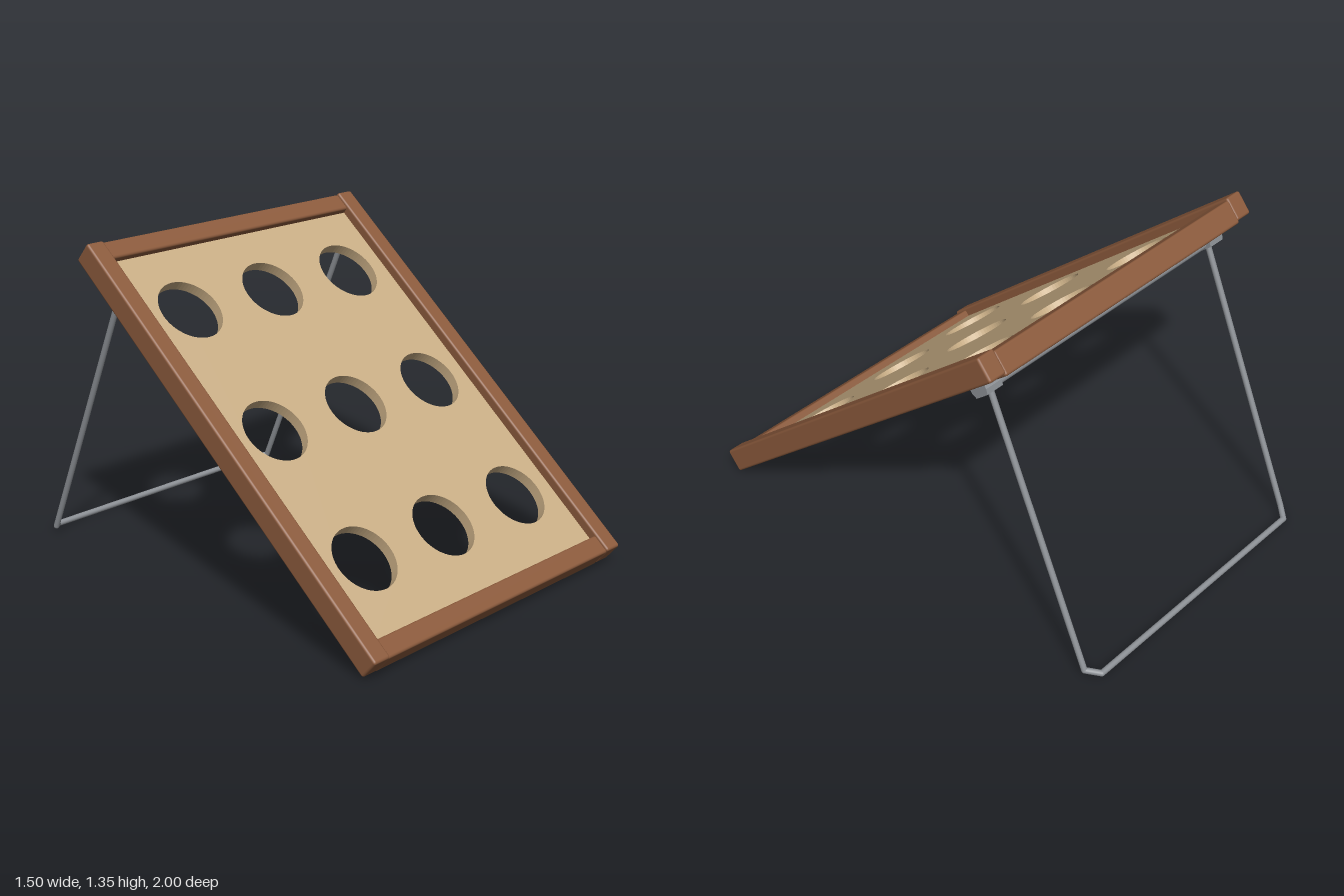
import * as THREE from 'three';
import { RoundedBoxGeometry } from 'three/addons/geometries/RoundedBoxGeometry.js';

const wood = new THREE.MeshStandardMaterial({ color: 0x8b5a3c });
const ply = new THREE.MeshStandardMaterial({ color: 0xc8ad85 });
const metal = new THREE.MeshStandardMaterial({ color: 0x8c9095 });

function add(parent, name, geometry, material, x = 0, y = 0, z = 0) {
  const mesh = new THREE.Mesh(geometry, material);
  mesh.name = name;
  mesh.position.set(x, y, z);
  parent.add(mesh);
  return mesh;
}

// Round bar between two points
function bar(parent, name, a, b, radius) {
  const dir = b.clone().sub(a);
  const mesh = add(parent, name, new THREE.CylinderGeometry(radius, radius, dir.length(), 16), metal);
  mesh.position.copy(a).add(b).multiplyScalar(0.5);
  mesh.quaternion.setFromUnitVectors(new THREE.Vector3(0, 1, 0), dir.normalize());
}

function createBoard() {
  const board = new THREE.Group();
  board.name = 'board';

  // Panel with a 3 x 3 grid of round holes
  const shape = new THREE.Shape();
  shape.moveTo(-0.68, -0.92).lineTo(0.68, -0.92).lineTo(0.68, 0.92).lineTo(-0.68, 0.92).closePath();
  for (const x of [-0.455, 0, 0.455]) {
    for (const y of [-0.602, 0.005, 0.612]) {
      const hole = new THREE.Path();
      hole.absarc(x, y, 0.14, 0, Math.PI * 2, true);
      shape.holes.push(hole);
    }
  }
  const panel = new THREE.ExtrudeGeometry(shape, { depth: 0.046, bevelEnabled: false, curveSegments: 32 });
  add(board, 'panel', panel, ply, 0, 0, -0.036);

  // Frame: side rails stand slightly proud of the cross rails
  for (const s of [-1, 1]) {
    add(board, s > 0 ? 'leftRail' : 'rightRail',
      new RoundedBoxGeometry(0.083, 1.975, 0.1, 2, 0.01), wood, s * 0.7085, 0, 0);
    add(board, s > 0 ? 'topRail' : 'bottomRail',
      new RoundedBoxGeometry(1.35, 0.083, 0.1, 2, 0.01), wood, 0, s * 0.945, -0.01);
  }

  // Hinge blocks with chamfered outer corners, on the back of the side rails
  const profile = new THREE.Shape();
  profile.moveTo(-0.045, 0).lineTo(0.045, 0).lineTo(0.045, 0.03).lineTo(0.035, 0.052)
    .lineTo(-0.035, 0.052).lineTo(-0.045, 0.03).closePath();
  for (const s of [-1, 1]) {
    const block = new THREE.ExtrudeGeometry(profile, { depth: 0.08, bevelEnabled: false });
    block.translate(0, 0, -0.04);
    // profile x runs along the board, profile y away from its back
    block.applyMatrix4(new THREE.Matrix4().makeBasis(
      new THREE.Vector3(0, 1, 0), new THREE.Vector3(0, 0, -1), new THREE.Vector3(-1, 0, 0)));
    add(board, s > 0 ? 'leftHinge' : 'rightHinge', block, metal, s * 0.645, 0.811, -0.046);
  }

  board.position.set(0, 0.68, 0.215);
  board.rotation.x = -THREE.MathUtils.degToRad(50);
  return board;
}

function createStand() {
  const stand = new THREE.Group();
  stand.name = 'stand';
  const V = (x, y, z) => new THREE.Vector3(x, y, z);

  // Hinge rod
  bar(stand, 'hingeRod', V(-0.635, 1.142, -0.456), V(0.635, 1.142, -0.456), 0.018);

  // Bent wire: leg, slanted corner, foot bar, slanted corner, leg
  const half = [V(0.635, 1.142, -0.456), V(0.635, 0.03, -0.938), V(0.59, 0.0135, -0.987)];
  const points = [...half, ...half.map((p) => V(-p.x, p.y, p.z)).reverse()];
  const names = ['leftLeg', 'leftCorner', 'footBar', 'rightCorner', 'rightLeg'];
  names.forEach((name, i) => {
    bar(stand, name, points[i], points[i + 1], 0.0125);
    if (i > 0) add(stand, 'bend', new THREE.SphereGeometry(0.0125, 16, 12), metal, ...points[i].toArray());
  });
  return stand;
}

export function createModel() {
  const model = new THREE.Group();
  model.name = 'tossGameBoard';
  model.add(createBoard(), createStand());
  return model;
}
